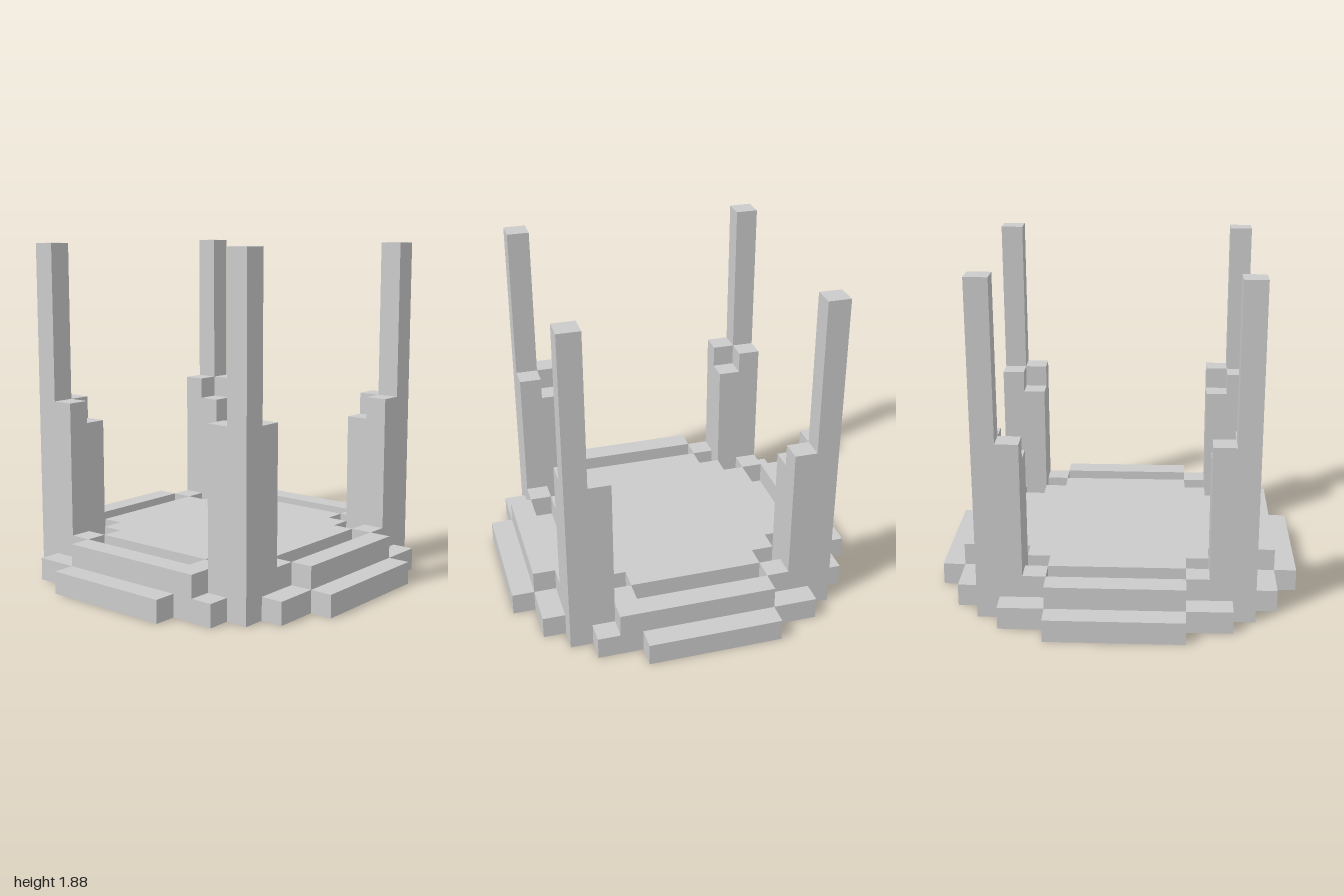
import * as THREE from 'three';

const U = 0.125; // one block
const material = new THREE.MeshStandardMaterial({ color: 0xcccccc, flatShading: true });

// Box given by its block-unit bounds
function block(parent, name, [x0, x1], [y0, y1], [z0, z1]) {
  const geo = new THREE.BoxGeometry((x1 - x0) * U, (y1 - y0) * U, (z1 - z0) * U);
  const mesh = new THREE.Mesh(geo, material);
  mesh.position.set((x0 + x1) * U / 2, (y0 + y1) * U / 2, (z0 + z1) * U / 2);
  mesh.name = name;
  parent.add(mesh);
}

// One-block-thick slab with a stepped outline, mirrored from one quadrant
function steppedSlab(parent, name, quadrant, y) {
  const back = [...quadrant].reverse();
  const outline = [
    ...quadrant,
    ...back.map(([a, b]) => [-a, b]),
    ...quadrant.map(([a, b]) => [-a, -b]),
    ...back.map(([a, b]) => [a, -b]),
  ].map(([a, b]) => new THREE.Vector2(a * U, b * U));
  const geo = new THREE.ExtrudeGeometry(new THREE.Shape(outline), { depth: U, bevelEnabled: false });
  geo.rotateX(-Math.PI / 2);
  const mesh = new THREE.Mesh(geo, material);
  mesh.position.y = y * U;
  mesh.name = name;
  parent.add(mesh);
}

export function createModel() {
  const model = new THREE.Group();
  model.name = 'pillaredPlatform';

  // Round base and the raised floor, leaving a groove inside the rim
  steppedSlab(model, 'base', [[8, 3], [7, 3], [7, 5], [6, 5], [6, 6], [5, 6], [5, 7], [3, 7], [3, 8]], 0);
  steppedSlab(model, 'floor', [[5, 3], [4, 3], [4, 4], [3, 4], [3, 5]], 1);

  // Raised rim; front and back run one block further on +x
  for (const s of [-1, 1]) {
    const span = (a, b) => (s > 0 ? [a, b] : [-b, -a]);
    block(model, 'sideRim', span(6, 7), [1, 2], [-3, 3]);
    block(model, s > 0 ? 'frontRim' : 'backRim', [-3, 4], [1, 2], span(6, 7));
  }

  // Corner pillars with stepped shoulders and rim connectors
  for (const sx of [-1, 1]) for (const sz of [-1, 1]) {
    const corner = new THREE.Group();
    corner.name = 'cornerPillar';
    const X = (a) => (sx > 0 ? [a, a + 1] : [-a - 1, -a]);
    const Z = (a) => (sz > 0 ? [a, a + 1] : [-a - 1, -a]);
    block(corner, 'post', X(5), [0, 15], Z(5));
    block(corner, 'shoulder', X(4), [1, 8], Z(5));
    block(corner, 'shoulder', X(5), [1, 8], Z(4));
    block(corner, 'innerShoulder', X(4), [1, 7], Z(4));
    block(corner, 'rimConnector', X(3), [1, 2], Z(5));
    block(corner, 'rimConnector', X(5), [1, 2], Z(3));
    model.add(corner);
  }
  return model;
}
